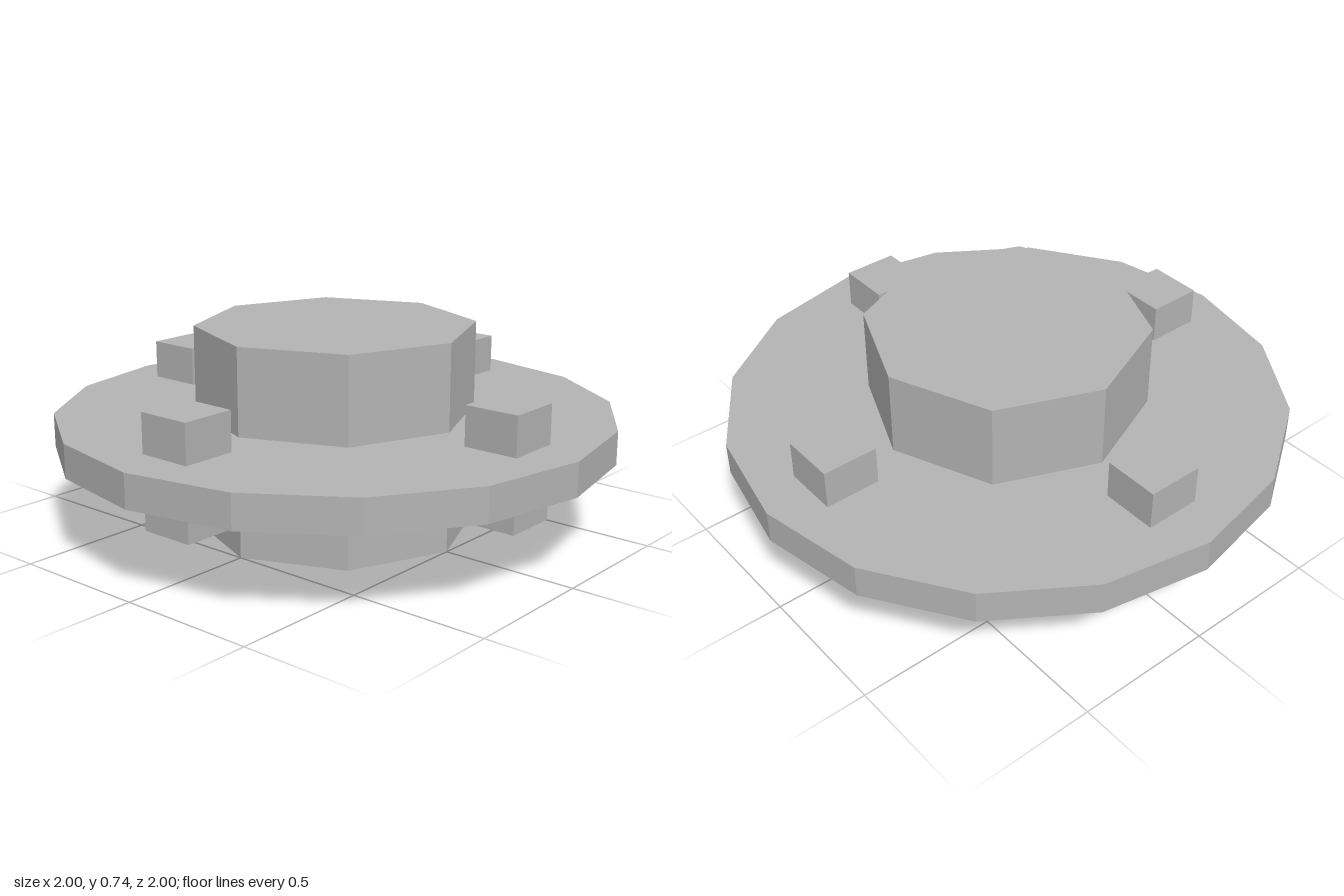
import * as THREE from 'three';

export function createModel() {
  const model = new THREE.Group();
  const grey = new THREE.MeshStandardMaterial({ name: 'plain grey', color: 0xb3b3b3, flatShading: true });
  const midY = 0.3675;

  const add = (name, geometry, x = 0, z = 0) => {
    const mesh = new THREE.Mesh(geometry, grey);
    mesh.name = name;
    mesh.position.set(x, midY, z);
    model.add(mesh);
  };

  // Octagonal hub through a thin sixteen-sided disc
  add('hub', new THREE.CylinderGeometry(0.5, 0.5, 2 * midY, 8));
  add('disc', new THREE.CylinderGeometry(1, 1, 0.12, 16));

  // Four square pegs passing through the disc
  const peg = new THREE.BoxGeometry(0.2, 0.4, 0.2);
  const reach = 0.733;
  [['leftPeg', 1, 0], ['rightPeg', -1, 0], ['frontPeg', 0, 1], ['backPeg', 0, -1]]
    .forEach(([name, x, z]) => add(name, peg, x * reach, z * reach));

  return model;
}
